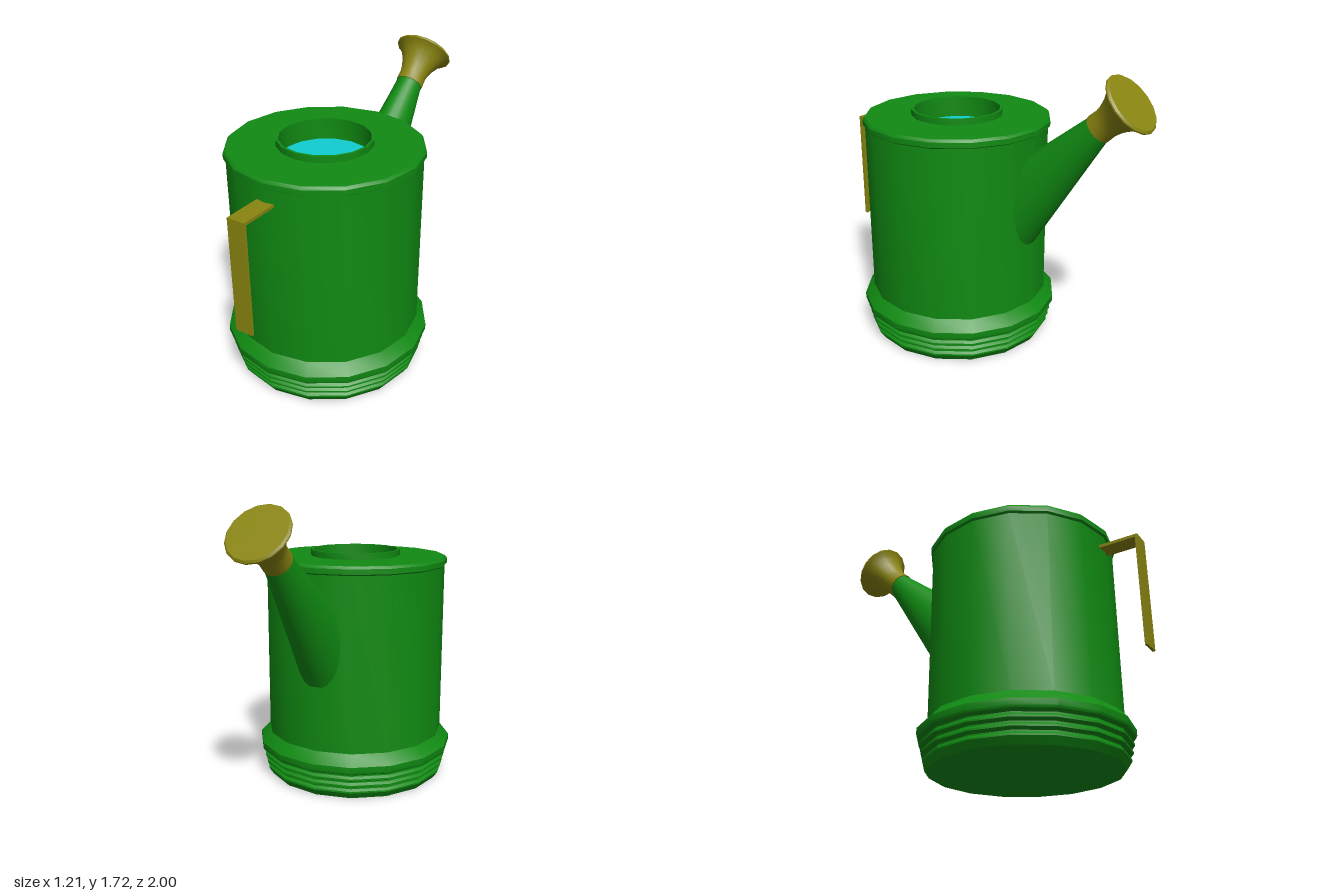
import * as THREE from 'three';
import { toCreasedNormals, mergeVertices } from 'three/addons/utils/BufferGeometryUtils.js';

const SIDES = 16;
const BODY_Z = 0.235;

export function createModel() {
  const model = new THREE.Group();
  const green = new THREE.MeshStandardMaterial({ color: 0x108a12 });
  const olive = new THREE.MeshStandardMaterial({ color: 0x8a8510 });
  const blue = new THREE.MeshStandardMaterial({ color: 0x10cdd0 });

  const add = (name, geometry, material, x = 0, y = 0, z = 0) => {
    const mesh = new THREE.Mesh(geometry, material);
    mesh.name = name;
    mesh.position.set(x, y, z);
    model.add(mesh);
    return mesh;
  };
  // Turned part: smooth around, sharp between distinct bands
  const lathe = (points) => toCreasedNormals(
    new THREE.LatheGeometry(points.map(([r, y]) => new THREE.Vector2(r, y)), SIDES), 0.46);

  // Body: ribbed foot, straight wall, lipped lid and open neck
  const profile = [[0, 0], [0.54, 0], [0.567, 0.04]];
  for (let i = 0; i < 3; i++) {
    const y = 0.05 + i * 0.043, r = 0.567 + i * 0.01;
    profile.push([r, y], [r - 0.014, y + 0.012], [r - 0.014, y + 0.02], [r + 0.01, y + 0.032]);
  }
  profile.push(
    [0.603, 0.18], [0.603, 0.215], [0.545, 0.275],
    [0.545, 1.31], [0.558, 1.318], [0.558, 1.348], [0.546, 1.363],
    [0.272, 1.363], [0.272, 1.4], [0.257, 1.4], [0.257, 1.26]);
  add('body', lathe(profile), green, 0, 0, BODY_Z);

  // Water surface inside the neck
  const water = new THREE.CircleGeometry(0.258, SIDES);
  water.rotateX(-Math.PI / 2);
  add('water', water, blue, 0, 1.275, BODY_Z);

  // Handle: short top strap and hanging grip
  add('handleStrap', new THREE.BoxGeometry(0.108, 0.018, 0.24), olive, 0, 1.224, 0.865);
  add('handleGrip', new THREE.BoxGeometry(0.108, 0.673, 0.015), olive, 0, 0.8965, 0.9925);

  // Spout: upright oval inside the wall, lofted to a tilted circle at the tip
  const axis = new THREE.Vector3(0, 0.666, -0.746);
  const tip = new THREE.Vector3(0, 1.425, -0.703);
  const spout = new THREE.CylinderGeometry(1, 1, 1, 24, 6, true);
  spout.deleteAttribute('normal');
  spout.deleteAttribute('uv');
  const pos = spout.attributes.position;
  const base = new THREE.Vector3(), end = new THREE.Vector3();
  for (let i = 0; i < pos.count; i++) {
    const x = pos.getX(i), up = pos.getZ(i), t = pos.getY(i) + 0.5;
    base.set(0.152 * x, 0.875 + 0.305 * up, -0.25);
    end.set(0.079 * x, tip.y - 0.079 * up * axis.z, tip.z + 0.079 * up * axis.y);
    base.lerp(end, t);
    pos.setXYZ(i, base.x, base.y, base.z);
  }
  const spoutGeometry = mergeVertices(spout);
  spoutGeometry.computeVertexNormals();
  const spoutMaterial = green.clone();
  spoutMaterial.side = THREE.DoubleSide;
  add('spout', spoutGeometry, spoutMaterial);

  // Sprinkler head: collar flaring to a flat face
  const head = add('sprinklerHead', lathe([
    [0, 0], [0.085, 0], [0.083, 0.06], [0.091, 0.1], [0.108, 0.148],
    [0.132, 0.19], [0.156, 0.218], [0.178, 0.233], [0.178, 0.241], [0.167, 0.251], [0, 0.251],
  ]), olive, tip.x, tip.y, tip.z);
  head.rotation.x = -Math.acos(axis.y);

  return model;
}
